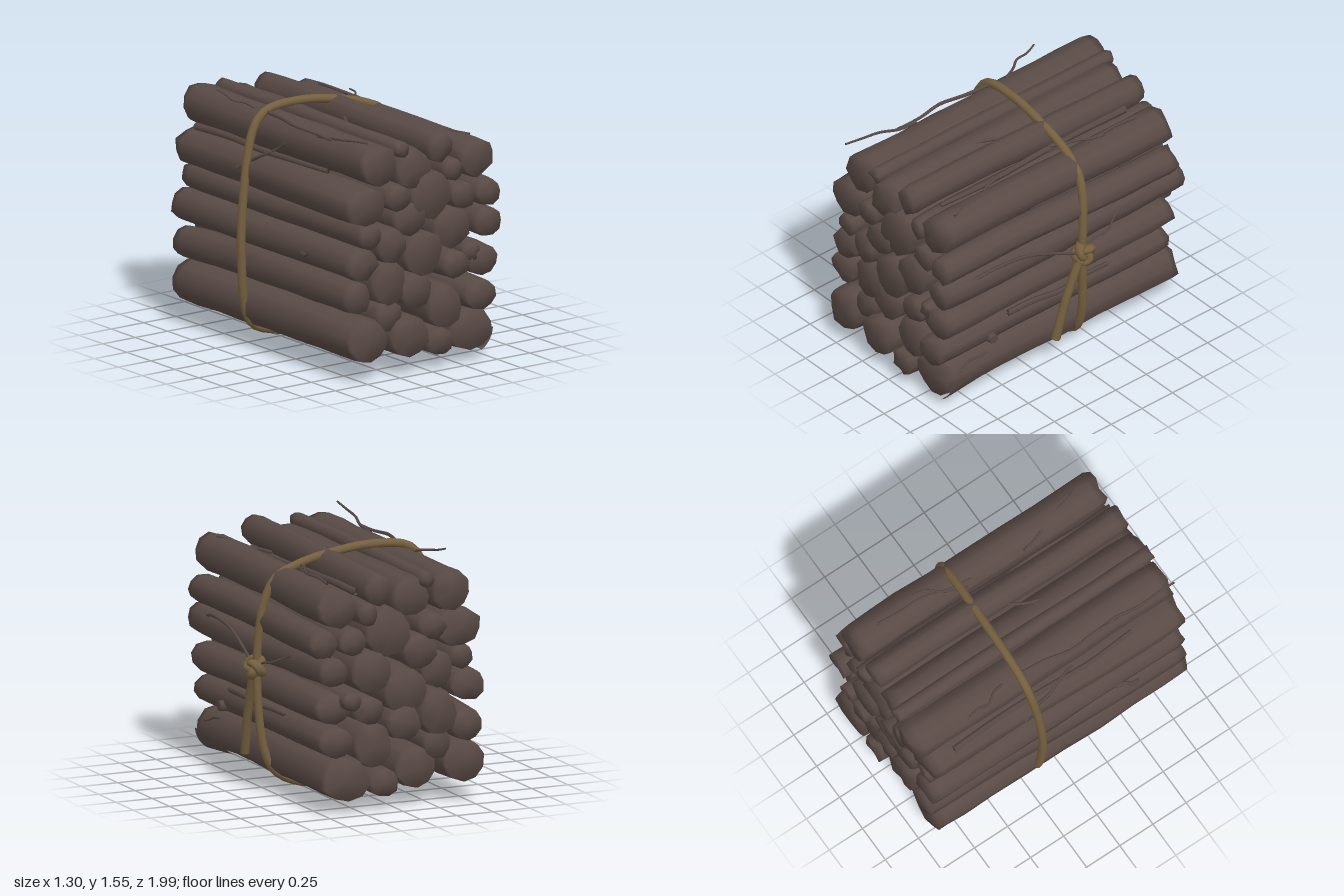
import * as THREE from 'three';

// Small seeded random, -1..1
let seed = 7;
function rnd() {
  seed = (seed * 16807) % 2147483647;
  return (seed / 2147483647) * 2 - 1;
}

const bark = new THREE.MeshStandardMaterial({ color: 0x594a45, side: THREE.DoubleSide });
bark.name = 'bark';
const hemp = new THREE.MeshStandardMaterial({ color: 0x756040 });
hemp.name = 'rope';

// One log along z: lumpy rings with shared normals, closed by flat ends
function logGeometry(x, y, rx, ry, dx = 0, dy = 0, front = 0.955 + rnd() * 0.025, back = -0.93 + rnd() * 0.04) {
  const n = 10, rows = 11;
  const lump = Array.from({ length: n }, () => 1 + rnd() * 0.05);
  const bow = rnd() * 0.012, turn = rnd();
  const pos = [], index = [];
  for (let k = 0; k < rows; k++) {
    const u = k / (rows - 1);
    const t = u * u * (3 - 2 * u); // rings crowd towards the ends
    const end = k === 0 || k === rows - 1;
    const size = (end ? 0.95 : 1) * (1 + rnd() * 0.03);
    const cx = x + dx * t + bow * Math.sin(t * Math.PI * 2);
    const cy = y + dy * t - bow * Math.sin(t * Math.PI);
    for (let i = 0; i < n; i++) {
      const a = ((i + turn) / n) * Math.PI * 2;
      const s = size * (lump[i] + rnd() * 0.03);
      pos.push(cx + Math.cos(a) * rx * s, cy + Math.sin(a) * ry * s,
        front + (back - front) * t + (end ? rnd() * 0.015 : 0));
    }
  }
  for (let k = 0; k < rows - 1; k++) {
    for (let i = 0; i < n; i++) {
      const a = k * n + i, b = k * n + ((i + 1) % n);
      index.push(a, a + n, b, b, a + n, b + n);
    }
  }
  const f = rows * n, last = f - n;
  pos.push(x, y, front + 0.01, x + dx, y + dy, back - 0.01);
  for (let i = 0; i < n; i++) {
    const j = (i + 1) % n;
    index.push(f, i, j, f + 1, last + j, last + i);
  }
  const g = new THREE.BufferGeometry();
  g.setAttribute('position', new THREE.Float32BufferAttribute(pos, 3));
  g.setIndex(index);
  g.computeVertexNormals();
  return g;
}

// Logs as [x, y, half width, half height], then drift to the back and z of both ends
const upperLogs = [
  [-0.35, 1.36, 0.13, 0.13, 0, 0, 0.93, -0.98], [-0.19, 1.44, 0.05, 0.05], [-0.1, 1.3, 0.125, 0.13, 0, 0.03, 0.95, -0.92],
  [0.11, 1.41, 0.085, 0.1, 0.01, -0.02], [0.39, 1.3, 0.125, 0.125, 0, -0.01, 0.95, -0.88], [0.205, 1.25, 0.07, 0.075],
  [-0.46, 1.11, 0.15, 0.125, 0.03, 0], [-0.23, 1.14, 0.09, 0.085], [0.03, 1.12, 0.15, 0.16, 0.03, 0],
  [0.28, 1.075, 0.09, 0.085, 0.02, 0], [0.46, 1.07, 0.09, 0.09, 0.02, 0, 0.97, -0.88], [-0.14, 0.99, 0.115, 0.11],
  [-0.445, 0.92, 0.075, 0.08], [-0.275, 0.84, 0.1, 0.12, 0.01, 0.02], [0.18, 0.885, 0.14, 0.135],
  [0.45, 0.88, 0.095, 0.095, 0, 0.02, 0.98, -0.95],
];
const lowerLogs = [
  [-0.03, 0.755, 0.145, 0.15, -0.03, -0.02], [-0.48, 0.745, 0.115, 0.105], [0.33, 0.71, 0.06, 0.06],
  [0.42, 0.635, 0.115, 0.1, 0, 0.02, 0.97, -0.88], [0.21, 0.645, 0.095, 0.09], [-0.27, 0.59, 0.125, 0.145],
  [-0.08, 0.52, 0.115, 0.115, 0.03, 0.02], [-0.52, 0.53, 0.1, 0.105, 0.05, -0.04],
  [0.39, 0.425, 0.115, 0.095, 0, 0.01, 0.99, -0.86], [0.15, 0.38, 0.125, 0.145, 0, 0.03], [-0.28, 0.385, 0.095, 0.1],
  [-0.465, 0.255, 0.145, 0.135], [-0.15, 0.235, 0.14, 0.135], [0.09, 0.17, 0.095, 0.095],
  [0.35, 0.2, 0.16, 0.14, 0, 0.01, 0.94, -0.93],
];

// Flat-ended tube through a few points, its radius running from r0 to r1
function strand(points, r0, r1, sides, closed = false) {
  const curve = new THREE.CatmullRomCurve3(points, closed);
  const steps = points.length * 5;
  const g = new THREE.TubeGeometry(curve, steps, 1, sides, closed);
  const p = g.attributes.position;
  const v = new THREE.Vector3();
  for (let k = 0; k <= steps; k++) {
    const end = !closed && (k === 0 || k === steps);
    const r = end ? 0.0005 : r0 + (r1 - r0) * (k / steps);
    const at = closed ? k / steps : THREE.MathUtils.clamp((k - 1) / (steps - 2), 0, 1);
    const from = curve.getPointAt(k / steps), to = curve.getPointAt(at);
    for (let i = 0; i <= sides; i++) {
      const q = k * (sides + 1) + i;
      v.fromBufferAttribute(p, q).sub(from).multiplyScalar(r).add(to);
      p.setXYZ(q, v.x, v.y, v.z);
    }
  }
  return g;
}

// A twig between two points, kinked at random on the way
function twigGeometry(x0, y0, z0, x1, y1, z1, r) {
  const a = new THREE.Vector3(x0, y0, z0), b = new THREE.Vector3(x1, y1, z1);
  const points = [0, 0.25, 0.5, 0.75, 1].map((t) => {
    const kink = 0.03 * Math.sin(t * Math.PI);
    return a.clone().lerp(b, t).add(new THREE.Vector3(rnd() * kink, rnd() * kink * 0.4, 0));
  });
  return strand(points, r, r * 0.6, 5);
}

// Loose twigs as start, end and thickness
const topTwigs = [
  [-0.18, 1.46, -0.82, -0.16, 1.44, -0.1, 0.018],
  [-0.41, 1.48, -0.18, -0.45, 1.46, 0.55, 0.014],
  [0.03, 1.42, 0.04, -0.16, 1.43, 0.42, 0.012],
  [0.09, 1.5, 0.2, 0.11, 1.5, 0.6, 0.009],
  [0.38, 1.42, -0.7, 0.3, 1.42, -0.05, 0.01],
  [0.27, 1.4, 0.33, 0.42, 1.42, 0.82, 0.011],
  [0.21, 1.36, -0.75, 0.21, 1.35, 0.75, 0.025],
  [-0.4, 1.47, -0.3, -0.48, 1.54, -0.6, 0.01],
  [-0.44, 1.45, 0.4, -0.47, 1.53, 0.95, 0.011],
  [0.26, 1.42, -0.1, 0.41, 1.44, -0.42, 0.009],
];
const sideTwigs = [
  [-0.58, 1.13, -0.25, -0.51, 1.36, 0.15, 0.013],
  [-0.53, 1.28, -0.75, -0.51, 1.28, 0.6, 0.025],
  [-0.56, 0.72, 0.4, -0.64, 0.76, 0.56, 0.018],
  [0.56, 0.8, -0.1, 0.54, 0.93, -0.5, 0.009],
  [0.5, 0.53, 0.45, 0.51, 0.53, -0.35, 0.022],
  [0.48, 0.24, 0.88, 0.5, 0.31, 0.62, 0.011],
];

// Rope loop as [x, y], one circuit around the bundle
const loop = [
  [-0.625, 0.59], [-0.59, 1.08], [-0.51, 1.39], [-0.42, 1.485], [-0.17, 1.515], [0.09, 1.485], [0.33, 1.425],
  [0.47, 1.35], [0.54, 1.2], [0.575, 0.8], [0.53, 0.24], [0.45, 0.11], [0.23, 0.03], [-0.36, 0.075], [-0.55, 0.16],
];

export function createModel() {
  seed = 7;
  const model = new THREE.Group();
  const add = (parent, name, geometry, material) => {
    const m = new THREE.Mesh(geometry, material);
    m.name = name;
    parent.add(m);
    return m;
  };
  const group = (name) => {
    const g = new THREE.Group();
    g.name = name;
    model.add(g);
    return g;
  };

  const logs = group('logs');
  for (const log of [...upperLogs, ...lowerLogs]) add(logs, 'log', logGeometry(...log), bark);

  // Cut branch stub and peeling bark on the right side
  const stub = add(logs, 'branchStub', new THREE.CylinderGeometry(0.032, 0.042, 0.08, 7), bark);
  stub.rotation.z = -Math.PI / 2;
  stub.position.set(0.48, 0.4, 0.58);
  const flap = add(logs, 'barkFlap', new THREE.CylinderGeometry(0.165, 0.14, 0.34, 6, 2, true, 0.5, 1), bark);
  flap.rotation.x = Math.PI / 2;
  flap.position.set(0.35, 0.2, 0.765);

  const twigs = group('twigs');
  for (const twig of [...topTwigs, ...sideTwigs]) add(twigs, 'twig', twigGeometry(...twig), bark);
  const V = (x, y, z) => new THREE.Vector3(x, y, z);
  const vine = [V(0.51, 0.93, 0.78), V(0.55, 0.975, 0.6), V(0.56, 0.95, 0.33), V(0.58, 0.79, -0.06)];
  add(twigs, 'curvedTwig', strand(vine, 0.013, 0.01, 5), bark);

  // Rope with knot and hanging end; the loop leans back away from the knot
  const rope = group('rope');
  const lean = (x, y) => -0.09 - Math.max(0.07 * (y - 0.8), 0.04 * (0.8 - y)) - 0.042 * (0.6 - x);
  const ring = loop.map(([x, y]) => V(x, y, lean(x, y)));
  add(rope, 'ropeLoop', strand(ring, 0.028, 0.028, 8, true), hemp);
  const knot = add(rope, 'knot', new THREE.TorusKnotGeometry(0.04, 0.024, 64, 7, 2, 3).scale(1, 1, 1.5), hemp);
  knot.rotation.y = Math.PI / 2;
  knot.position.set(0.585, 0.785, -0.09);
  const tail = [V(0.585, 0.77, -0.07), V(0.575, 0.5, 0.035), V(0.56, 0.2, 0.115)];
  add(rope, 'ropeEnd', strand(tail, 0.027, 0.03, 8), hemp);

  return model;
}
